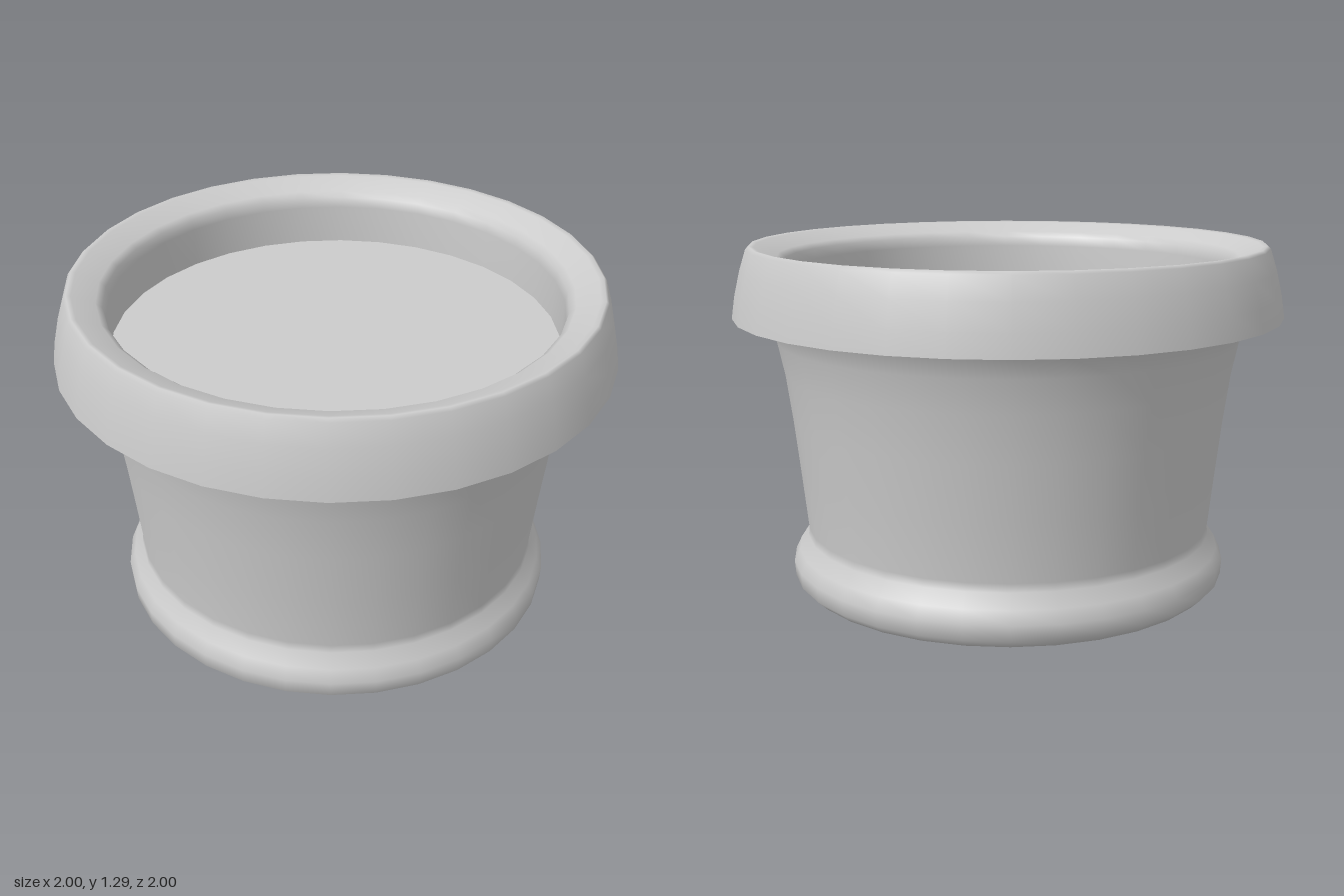
import * as THREE from 'three';

const SEGMENTS = 32;

export function createModel() {
  const model = new THREE.Group();
  model.name = 'flowerPot';
  const material = new THREE.MeshStandardMaterial({ color: 0xcccccc });

  // Revolve a [radius, height] profile around the vertical axis
  const addLathe = (name, profile) => {
    const points = profile.map(([r, y]) => new THREE.Vector2(r, y));
    const mesh = new THREE.Mesh(new THREE.LatheGeometry(points, SEGMENTS), material);
    mesh.name = name;
    model.add(mesh);
  };

  // Rounded foot, flared wall and underside of the rim
  addLathe('body', [
    [0, 0], [0.45, 0.002], [0.68, 0.015], [0.775, 0.038], [0.808, 0.07],
    [0.812, 0.125], [0.79, 0.17], [0.757, 0.22], [0.753, 0.25],
    [0.775, 0.46], [0.797, 0.66], [0.82, 0.83], [0.845, 0.95],
    [0.868, 1.02], [0.89, 1.038], [1, 1.04],
  ]);

  // Thick collar with a soft top edge, sloping inwards to the inner wall
  addLathe('rim', [
    [1, 1.04], [0.988, 1.12], [0.967, 1.21], [0.943, 1.285], [0.932, 1.295],
    [0.915, 1.291], [0.835, 1.257], [0.813, 1.238], [0.806, 1.2], [0.802, 1.04],
  ]);

  // Flat soil surface inside the collar
  const soil = new THREE.Mesh(new THREE.CircleGeometry(0.803, SEGMENTS), material);
  soil.name = 'soil';
  soil.rotation.x = -Math.PI / 2;
  soil.position.y = 1.055;
  model.add(soil);

  return model;
}
